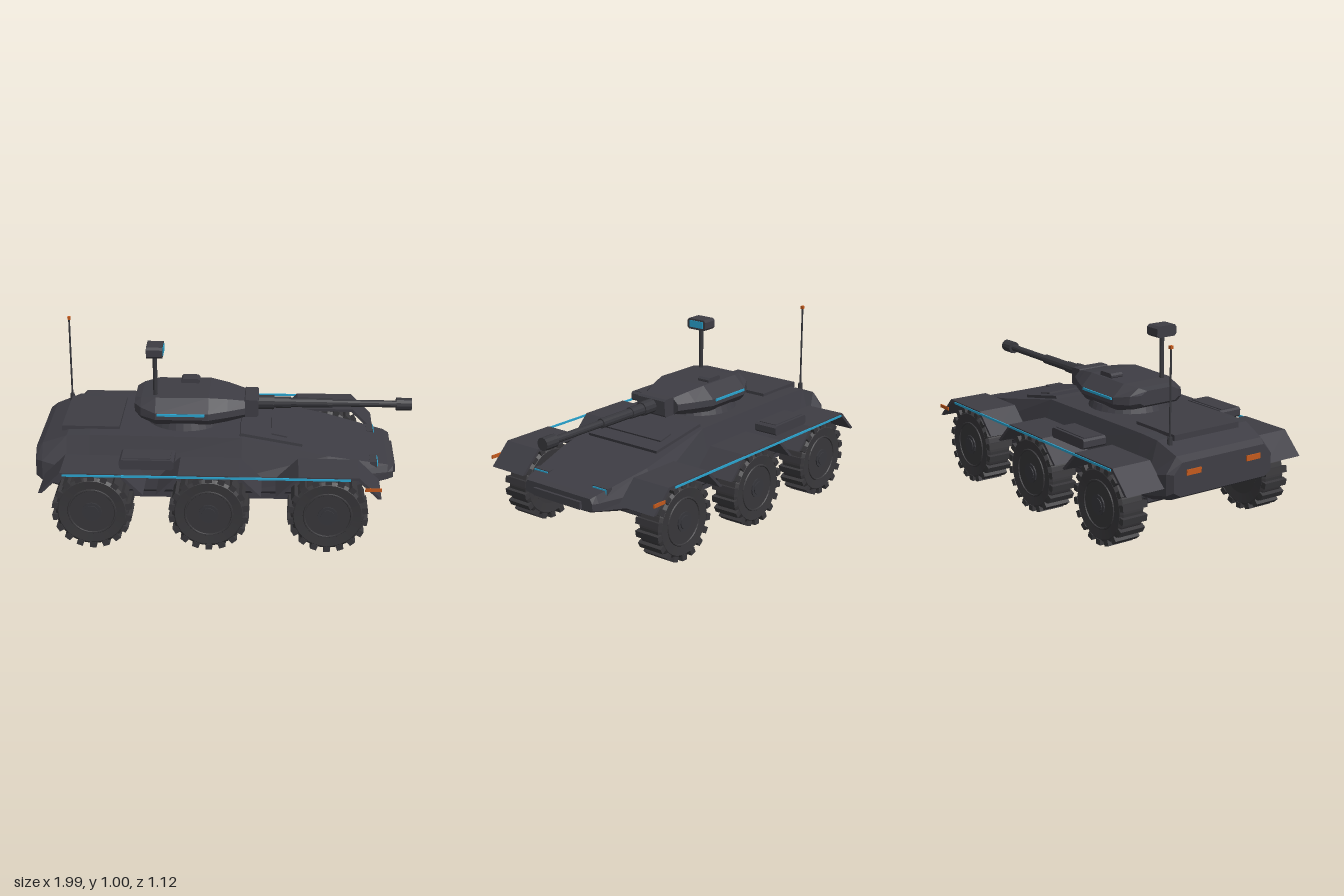
import * as THREE from 'three';

const mat = (name, color, flat = true) => {
  const m = new THREE.MeshStandardMaterial({ color, flatShading: flat });
  m.name = name;
  return m;
};

// Loft of eight-cornered sections along x: [x, yb, wb, y1, w1, y2, w2, yt, wt]
function loft(sections) {
  const rings = sections.map(([x, ...s]) => {
    const half = [0, 2, 4, 6].map(i => [x, s[i], s[i + 1]]);
    return [...half, ...half.map(([a, b, c]) => [a, b, -c]).reverse()];
  });
  const pos = [];
  const tri = (...p) => p.forEach(q => pos.push(...q));
  for (let i = 0; i < rings.length - 1; i++) {
    for (let j = 0; j < 8; j++) {
      const k = (j + 1) % 8;
      const a = rings[i][j], b = rings[i][k], c = rings[i + 1][k], d = rings[i + 1][j];
      tri(a, d, c);
      tri(a, c, b);
    }
  }
  const first = rings[0], last = rings[rings.length - 1];
  for (let j = 1; j < 7; j++) {
    tri(first[0], first[j], first[j + 1]);
    tri(last[0], last[j + 1], last[j]);
  }
  const g = new THREE.BufferGeometry();
  g.setAttribute('position', new THREE.Float32BufferAttribute(pos, 3));
  g.computeVertexNormals();
  return g;
}

// Box with chamfered edges seen along z
function chamferBox(w, h, d, c = 0.01) {
  const x = w / 2, y = h / 2;
  const s = new THREE.Shape([[-x + c, -y], [x - c, -y], [x, -y + c], [x, y - c],
    [x - c, y], [-x + c, y], [-x, y - c], [-x, -y + c]].map(p => new THREE.Vector2(...p)));
  return new THREE.ExtrudeGeometry(s, { depth: d, bevelEnabled: false }).translate(0, 0, -d / 2);
}

export function createModel() {
  const model = new THREE.Group();
  model.name = 'armoredCar';
  const armor = mat('armor', 0x3e3d44);
  const rubber = mat('rubber', 0x38373a);
  const steel = mat('gunmetal', 0x37373c);
  const cyan = mat('cyanGlow', 0x2aa4cf);
  const orange = mat('orangeMarker', 0xc2591d);

  const add = (name, geo, material, x = 0, y = 0, z = 0, parent = model) => {
    const m = new THREE.Mesh(geo, material);
    m.name = name;
    m.position.set(x, y, z);
    parent.add(m);
    return m;
  };
  // Box given by its limits on each axis
  const box = (name, material, x0, x1, y0, y1, z0, z1, parent) =>
    add(name, new THREE.BoxGeometry(x1 - x0, y1 - y0, z1 - z0), material,
      (x0 + x1) / 2, (y0 + y1) / 2, (z0 + z1) / 2, parent);

  // Hull
  add('hull', loft([
    [-0.985, 0.285, 0.27, 0.31, 0.31, 0.40, 0.31, 0.455, 0.26],
    [-0.95, 0.265, 0.29, 0.29, 0.33, 0.40, 0.33, 0.48, 0.27],
    [-0.82, 0.23, 0.30, 0.26, 0.338, 0.36, 0.335, 0.53, 0.285],
    [-0.70, 0.22, 0.30, 0.25, 0.34, 0.33, 0.337, 0.535, 0.285],
    [0.10, 0.22, 0.30, 0.25, 0.34, 0.33, 0.337, 0.53, 0.285],
    [0.55, 0.22, 0.30, 0.25, 0.338, 0.33, 0.33, 0.435, 0.285],
    [0.87, 0.27, 0.19, 0.29, 0.245, 0.33, 0.245, 0.368, 0.23],
    [0.90, 0.285, 0.17, 0.295, 0.23, 0.33, 0.23, 0.355, 0.215],
  ]), armor);
  add('belly', chamferBox(1.28, 0.06, 0.51), armor, -0.07, 0.195, 0);
  box('nosePlate', armor, 0.89, 0.915, 0.29, 0.33, -0.16, 0.16);
  box('engineDeck', armor, -0.855, -0.55, 0.52, 0.55, -0.205, 0.205);

  // Sloped hatch on the front deck
  const glacis = new THREE.Group();
  glacis.name = 'glacisHatch';
  glacis.position.set(0.25, 0.502, 0);
  glacis.rotation.z = -0.21;
  model.add(glacis);
  const outline = new THREE.Shape([[-0.165, -0.26], [0.17, -0.235], [0.17, 0.235], [-0.165, 0.26]]
    .map(p => new THREE.Vector2(...p)));
  add('hatchPlate', new THREE.ExtrudeGeometry(outline, { depth: 0.018, bevelEnabled: false })
    .rotateX(-Math.PI / 2), armor, 0, -0.006, 0, glacis);
  box('hatchPanel', armor, 0.0, 0.085, 0.0, 0.02, -0.195, 0.195, glacis);

  // Wheel parts, turned about z
  const disc = (r, d, n = 32) => new THREE.CylinderGeometry(r, r, d, n).rotateX(Math.PI / 2);
  const tyreProfile = [[0.11, -0.066], [0.175, -0.072], [0.19, -0.058], [0.19, 0.058], [0.175, 0.072], [0.11, 0.066]]
    .map(p => new THREE.Vector2(...p));
  const tyreGeo = new THREE.LatheGeometry(tyreProfile, 32).rotateX(Math.PI / 2);
  const lugGeo = new THREE.BoxGeometry(0.034, 0.03, 0.146);
  const fenderShape = new THREE.Shape([[-0.27, 0.325], [-0.155, 0.44], [0.155, 0.44], [0.27, 0.325],
    [0.25, 0.325], [0.148, 0.425], [-0.148, 0.425], [-0.25, 0.325]].reverse().map(p => new THREE.Vector2(...p)));
  const fenderGeo = new THREE.ExtrudeGeometry(fenderShape, { depth: 0.225, bevelEnabled: false })
    .translate(0, 0, -0.1125);

  for (const x of [-0.668, -0.063, 0.55]) {
    add('axle', disc(0.025, 0.85, 12), steel, x, 0.205, 0);
    for (const s of [1, -1]) {
      const wheel = new THREE.Group();
      wheel.name = 'wheel';
      wheel.position.set(x, 0.208, s * 0.456);
      model.add(wheel);
      add('tyre', tyreGeo, rubber, 0, 0, 0, wheel);
      add('rim', disc(0.125, 0.136), rubber, 0, 0, 0, wheel);
      add('rimRing', new THREE.TorusGeometry(0.122, 0.006, 6, 32), rubber, 0, 0, s * 0.068, wheel);
      add('hub', disc(0.052, 0.15, 12), steel, 0, 0, 0, wheel);
      add('hubCap', disc(0.036, 0.16, 12), steel, 0, 0, 0, wheel);
      for (let i = 0; i < 18; i++) {
        const a = (i / 18) * Math.PI * 2;
        const lug = add('treadLug', lugGeo, rubber, -Math.sin(a) * 0.193, Math.cos(a) * 0.193, 0, wheel);
        lug.rotation.z = a;
      }
      add('fender', fenderGeo, armor, x, 0, s * 0.4425);
    }
  }

  // Parts mirrored on both sides
  for (const s of [1, -1]) {
    const side = (name, material, x0, x1, y0, y1, z0, z1) =>
      box(name, material, x0, x1, y0, y1, Math.min(s * z0, s * z1), Math.max(s * z0, s * z1));
    side('sideStripe', cyan, -0.81, 0.66, 0.423, 0.434, 0.553, 0.56);
    side('frontMarker', orange, 0.735, 0.82, 0.368, 0.386, 0.553, 0.56);
    side('rearLight', orange, -0.992, -0.984, 0.387, 0.415, 0.145, 0.235);
    side('headlightHousing', armor, 0.775, 0.812, 0.35, 0.39, 0.152, 0.25);
    side('headlight', cyan, 0.811, 0.817, 0.36, 0.386, 0.156, 0.246);
    add('stowageBox', chamferBox(0.28, 0.052, 0.135), armor, -0.382, 0.472, s * 0.4425);
    side('stowageLid', armor, -0.505, -0.26, 0.495, 0.502, 0.39, 0.495);
    side('turretStripe', cyan, -0.35, -0.10, 0.617, 0.629, 0.212, 0.22);
  }

  // Turret
  add('turretRing', new THREE.CylinderGeometry(0.2, 0.215, 0.04, 32), armor, -0.21, 0.547, 0);
  add('turret', loft([
    [-0.475, 0.595, 0.10, 0.61, 0.125, 0.65, 0.12, 0.67, 0.08],
    [-0.44, 0.575, 0.14, 0.60, 0.17, 0.645, 0.165, 0.682, 0.11],
    [-0.36, 0.56, 0.185, 0.595, 0.214, 0.63, 0.212, 0.693, 0.145],
    [-0.08, 0.56, 0.185, 0.595, 0.214, 0.63, 0.212, 0.695, 0.145],
    [0.02, 0.562, 0.14, 0.595, 0.17, 0.63, 0.168, 0.68, 0.12],
    [0.11, 0.572, 0.10, 0.595, 0.125, 0.63, 0.123, 0.66, 0.09],
  ]), armor);
  add('hatch', chamferBox(0.1, 0.03, 0.072), armor, -0.19, 0.703, -0.098);
  add('mantlet', chamferBox(0.08, 0.097, 0.188), armor, 0.142, 0.617, 0);

  // Gun: [start, end, radius]
  for (const [name, x0, x1, r] of [['gunCollar', 0.17, 0.265, 0.038], ['gunSleeve', 0.26, 0.355, 0.031],
    ['barrelBase', 0.35, 0.577, 0.026], ['barrel', 0.57, 0.93, 0.019], ['muzzle', 0.917, 1.0, 0.034]]) {
    add(name, new THREE.CylinderGeometry(r, r, x1 - x0, 12).rotateZ(Math.PI / 2), steel, (x0 + x1) / 2, 0.618, 0);
  }

  // Sight mast
  add('mast', new THREE.CylinderGeometry(0.012, 0.012, 0.25, 10), steel, -0.365, 0.8, 0.097);
  add('sightHead', chamferBox(0.126, 0.06, 0.085, 0.012).rotateY(Math.PI / 2), armor, -0.363, 0.946, 0.097);
  box('sightLens', cyan, -0.322, -0.317, 0.928, 0.966, 0.05, 0.143);

  // Antenna
  add('antennaBase', new THREE.CylinderGeometry(0.012, 0.014, 0.04, 8), steel, -0.862, 0.53, -0.24);
  add('antenna', new THREE.CylinderGeometry(0.005, 0.005, 0.47, 8), steel, -0.862, 0.76, -0.24);
  box('antennaTip', orange, -0.87, -0.854, 0.987, 1.003, -0.248, -0.232);

  return model;
}
